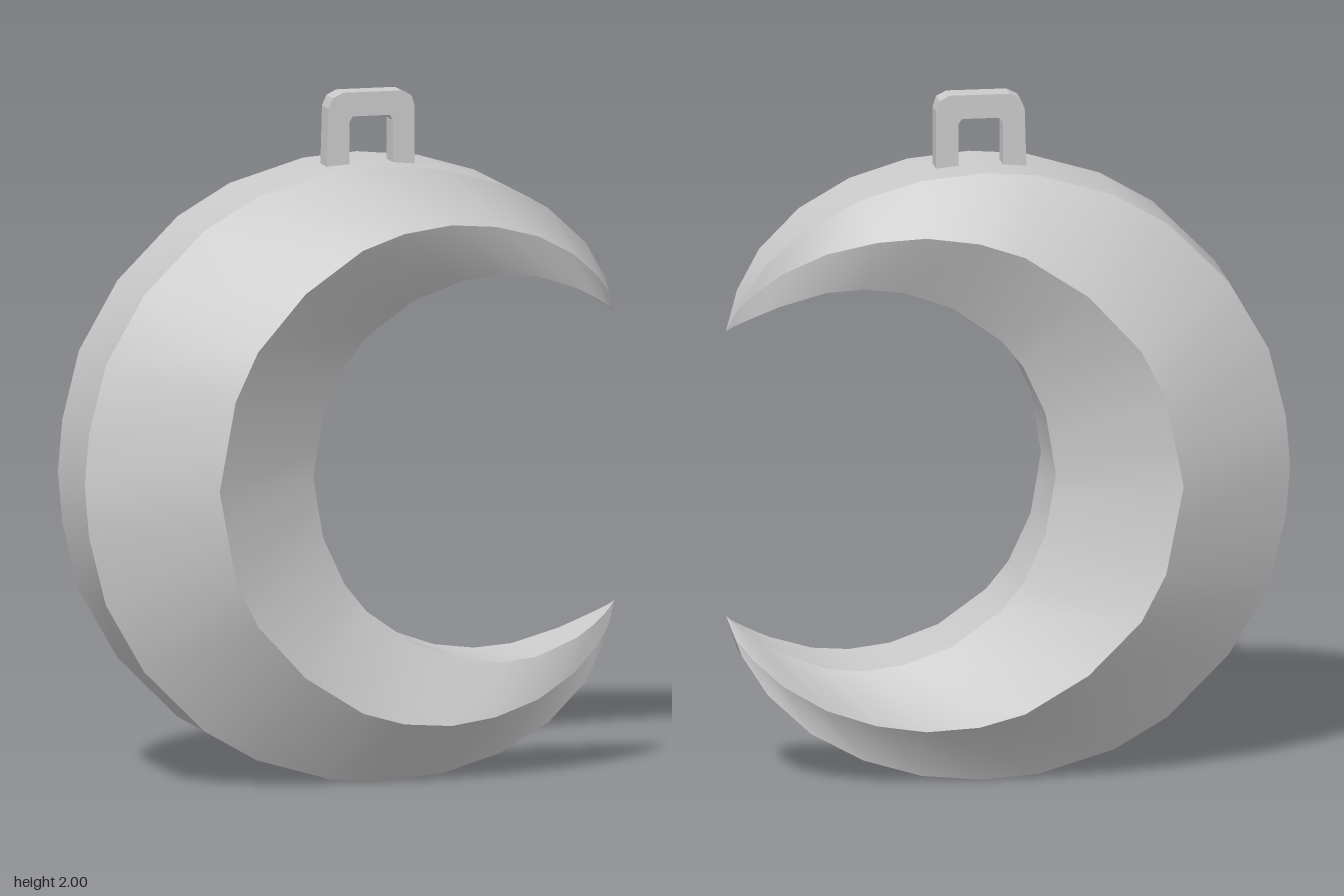
import * as THREE from 'three';

// Upper-half stations: outer rim x,y,z | side ridge x,y,z | inner rim x,y,z
const STATIONS = [
  [-0.813, 0.9, 0.145, -0.47, 0.9, 0.365, -0.13, 0.9, 0.145],
  [-0.8, 1.05, 0.145, -0.447, 1.02, 0.361, -0.117, 0.98, 0.145],
  [-0.75, 1.25, 0.145, -0.42, 1.16, 0.357, -0.1, 1.08, 0.145],
  [-0.635, 1.45, 0.145, -0.35, 1.3, 0.345, -0.035, 1.22, 0.145],
  [-0.455, 1.63, 0.145, -0.2, 1.46, 0.318, 0.03, 1.3, 0.145],
  [-0.3, 1.72, 0.145, -0.02, 1.575, 0.288, 0.17, 1.4, 0.145],
  [-0.08, 1.785, 0.145, 0.11, 1.615, 0.266, 0.31, 1.45, 0.145],
  [0.08, 1.797, 0.145, 0.26, 1.63, 0.236, 0.43, 1.465, 0.145],
  [0.26, 1.78, 0.145, 0.4, 1.615, 0.204, 0.54, 1.455, 0.135],
  [0.43, 1.73, 0.138, 0.54, 1.575, 0.16, 0.67, 1.41, 0.1],
  [0.58, 1.65, 0.12, 0.66, 1.51, 0.11, 0.73, 1.378, 0.07],
  [0.7, 1.54, 0.09, 0.74, 1.44, 0.07, 0.77, 1.353, 0.04],
  [0.77, 1.43, 0.05, 0.785, 1.385, 0.035, 0.795, 1.335, 0.015],
  [0.81, 1.32, 0, 0.81, 1.32, 0, 0.81, 1.32, 0],
];
const MID_Y = 0.9;

// Six-cornered cross-section, optionally mirrored to the lower half
function section(s, lower) {
  const y = (v) => (lower ? 2 * MID_Y - v : v);
  const front = [0, 3, 6].map((i) => [s[i], y(s[i + 1]), s[i + 2]]);
  const back = front.map(([px, py, pz]) => [px, py, -pz]).reverse();
  return [...front, ...back];
}

// Smooth strip joining two neighbouring corners along all sections
function strip(sections, a, b) {
  const pos = [], index = [];
  sections.forEach((s, i) => {
    pos.push(...s[a], ...s[b]);
    if (i === 0) return;
    const k = 2 * (i - 1);
    index.push(k, k + 1, k + 3, k, k + 3, k + 2);
  });
  const geo = new THREE.BufferGeometry();
  geo.setAttribute('position', new THREE.Float32BufferAttribute(pos, 3));
  geo.setIndex(index);
  geo.computeVertexNormals();
  return geo;
}

export function createModel() {
  const model = new THREE.Group();
  model.name = 'crescentPendant';
  const grey = new THREE.MeshStandardMaterial({ color: 0xcccccc });

  // Crescent body: bottom tip, round the left, to the top tip
  const sections = [
    ...STATIONS.slice(1).reverse().map((s) => section(s, true)),
    ...STATIONS.map((s) => section(s, false)),
  ];
  const crescent = new THREE.Group();
  crescent.name = 'crescent';
  const names = ['frontOuterBevel', 'frontInnerBevel', 'innerBand', 'backInnerBevel', 'backOuterBevel', 'outerBand'];
  names.forEach((name, i) => {
    const mesh = new THREE.Mesh(strip(sections, i, (i + 1) % 6), grey);
    mesh.name = name;
    crescent.add(mesh);
  });
  model.add(crescent);

  // Hanging loop: arch with chamfered shoulders
  const arch = new THREE.Shape([
    [-0.063, 1.78], [0.005, 1.78], [0.005, 1.915], [0.015, 1.93], [0.125, 1.93], [0.135, 1.915],
    [0.135, 1.78], [0.2, 1.78], [0.2, 1.955], [0.19, 1.985], [0.16, 2],
    [-0.015, 2], [-0.045, 1.985], [-0.058, 1.955],
  ].map(([x, y]) => new THREE.Vector2(x, y)));
  const loopGeo = new THREE.ExtrudeGeometry(arch, { depth: 0.07, bevelEnabled: false });
  loopGeo.translate(0, 0, -0.02);
  const loop = new THREE.Mesh(loopGeo, grey);
  loop.name = 'hangingLoop';
  model.add(loop);

  return model;
}
